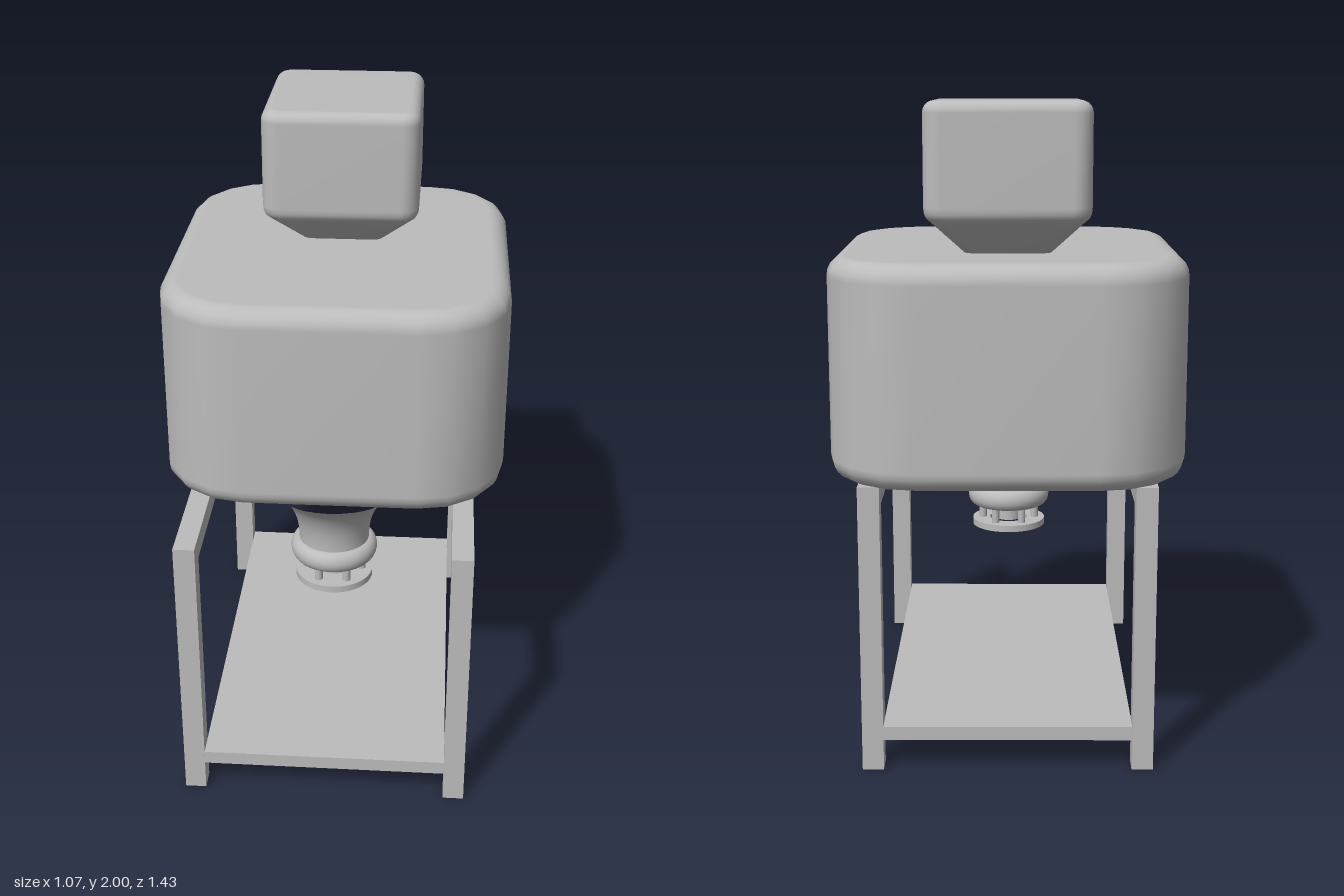
import * as THREE from 'three';

const grey = new THREE.MeshStandardMaterial({ color: 0xbcbcbc });
grey.name = 'light grey';

function add(parent, name, geometry, x = 0, y = 0, z = 0) {
  const mesh = new THREE.Mesh(geometry, grey);
  mesh.name = name;
  mesh.position.set(x, y, z);
  parent.add(mesh);
  return mesh;
}

// Smooth closed solid through rounded rectangles; each section is [y, halfX, halfZ, radius]
function loft(sections, steps = 4) {
  const pos = [], idx = [];
  const n = 4 * (steps + 1);
  for (const [y, hx, hz, r] of sections) {
    for (let c = 0; c < 4; c++) {
      const sx = c === 0 || c === 3 ? 1 : -1, sz = c < 2 ? 1 : -1;
      for (let s = 0; s <= steps; s++) {
        const a = (c + s / steps) * Math.PI / 2;
        pos.push(sx * (hx - r) + r * Math.cos(a), y, sz * (hz - r) + r * Math.sin(a));
      }
    }
  }
  for (let k = 0; k < sections.length - 1; k++) {
    for (let i = 0; i < n; i++) {
      const a = k * n + i, b = k * n + (i + 1) % n;
      idx.push(a, a + n, b, b, a + n, b + n);
    }
  }
  // Flat caps at both ends
  const last = (sections.length - 1) * n, bottom = pos.length / 3, top = bottom + 1;
  pos.push(0, sections[0][0], 0, 0, sections[sections.length - 1][0], 0);
  for (let i = 0; i < n; i++) {
    const j = (i + 1) % n;
    idx.push(bottom, i, j, top, last + j, last + i);
  }
  const g = new THREE.BufferGeometry();
  g.setAttribute('position', new THREE.Float32BufferAttribute(pos, 3));
  g.setIndex(idx);
  g.computeVertexNormals();
  return g;
}

// Sections of a quarter-round edge, rising to the top or starting from the bottom
function fillet(yEnd, hx, hz, r, f, atTop, steps = 5) {
  const out = [];
  for (let i = 0; i <= steps; i++) {
    const t = (i / steps) * Math.PI / 2;
    const inset = f * (1 - Math.cos(t)), drop = f * (1 - Math.sin(t));
    out.push([atTop ? yEnd - drop : yEnd + drop, hx - inset, hz - inset, r - inset]);
  }
  return atTop ? out : out.reverse();
}

const lathe = (pts, seg = 40) =>
  new THREE.LatheGeometry(pts.map(([r, y]) => new THREE.Vector2(r, y)), seg);

export function createModel() {
  const model = new THREE.Group();
  model.name = 'dispensing machine';

  // Main housing with broad rounded corners
  add(model, 'housing', loft([
    ...fillet(0.895, 0.535, 0.6, 0.27, 0.06, false),
    ...fillet(1.555, 0.535, 0.6, 0.27, 0.06, true),
  ]), 0, 0, -0.115);

  // Feed hopper: tapered neck, soft shoulder, rounded top
  add(model, 'hopper', loft([
    [1.54, 0.115, 0.13, 0.03],
    [1.65, 0.222, 0.255, 0.045],
    [1.663, 0.236, 0.269, 0.05],
    [1.677, 0.243, 0.276, 0.055],
    [1.695, 0.245, 0.278, 0.055],
    ...fillet(2, 0.245, 0.278, 0.055, 0.035, true),
  ]), 0, 0, -0.272);

  // Outlet under the housing
  const outlet = new THREE.Group();
  outlet.name = 'outlet';
  outlet.position.z = 0.249;
  model.add(outlet);

  const flare = new THREE.CatmullRomCurve3([
    [0.113, 0.66], [0.115, 0.71], [0.127, 0.765], [0.155, 0.82], [0.195, 0.862], [0.25, 0.9],
  ].map(([r, y]) => new THREE.Vector3(r, y, 0)));
  add(outlet, 'funnel', lathe(flare.getPoints(16).map(p => [p.x, p.y])));

  const collar = [[0, 0.603], [0.112, 0.603]];
  for (let i = 0; i <= 10; i++) {
    const a = (i / 10 - 0.5) * Math.PI;
    collar.push([0.112 + 0.028 * Math.cos(a), 0.639 + 0.036 * Math.sin(a)]);
  }
  collar.push([0.1, 0.675]);
  add(outlet, 'collar', lathe(collar));

  // Nozzle, ring plate and the pins carrying it
  add(outlet, 'nozzle', new THREE.CylinderGeometry(0.045, 0.045, 0.06, 24), 0, 0.58, 0);
  const ring = new THREE.Shape().absarc(0, 0, 0.125, 0, Math.PI * 2);
  ring.holes.push(new THREE.Path().absarc(0, 0, 0.065, 0, Math.PI * 2, true));
  const plate = new THREE.ExtrudeGeometry(ring, { depth: 0.022, bevelEnabled: false, curveSegments: 32 });
  plate.rotateX(-Math.PI / 2);
  add(outlet, 'ringPlate', plate, 0, 0.53, 0);
  for (let i = 0; i < 6; i++) {
    const a = i * Math.PI / 3;
    add(outlet, 'pin', new THREE.CylinderGeometry(0.013, 0.013, 0.065, 12),
      0.09 * Math.cos(a), 0.58, 0.09 * Math.sin(a));
  }

  // Stand: four legs, two top rails and a low shelf
  const stand = new THREE.Group();
  stand.name = 'stand';
  model.add(stand);
  for (const side of [-1, 1]) {
    const x = side * 0.41;
    add(stand, 'frontLeg', new THREE.BoxGeometry(0.065, 0.89, 0.065), x, 0.445, 0.685);
    add(stand, 'backLeg', new THREE.BoxGeometry(0.065, 0.89, 0.065), x, 0.445, -0.578);
    add(stand, 'topRail', new THREE.BoxGeometry(0.065, 0.065, 1.2), x, 0.8575, 0.0535);
  }
  add(stand, 'shelf', new THREE.BoxGeometry(0.756, 0.043, 1.326), 0, 0.1175, 0.0535);

  return model;
}
